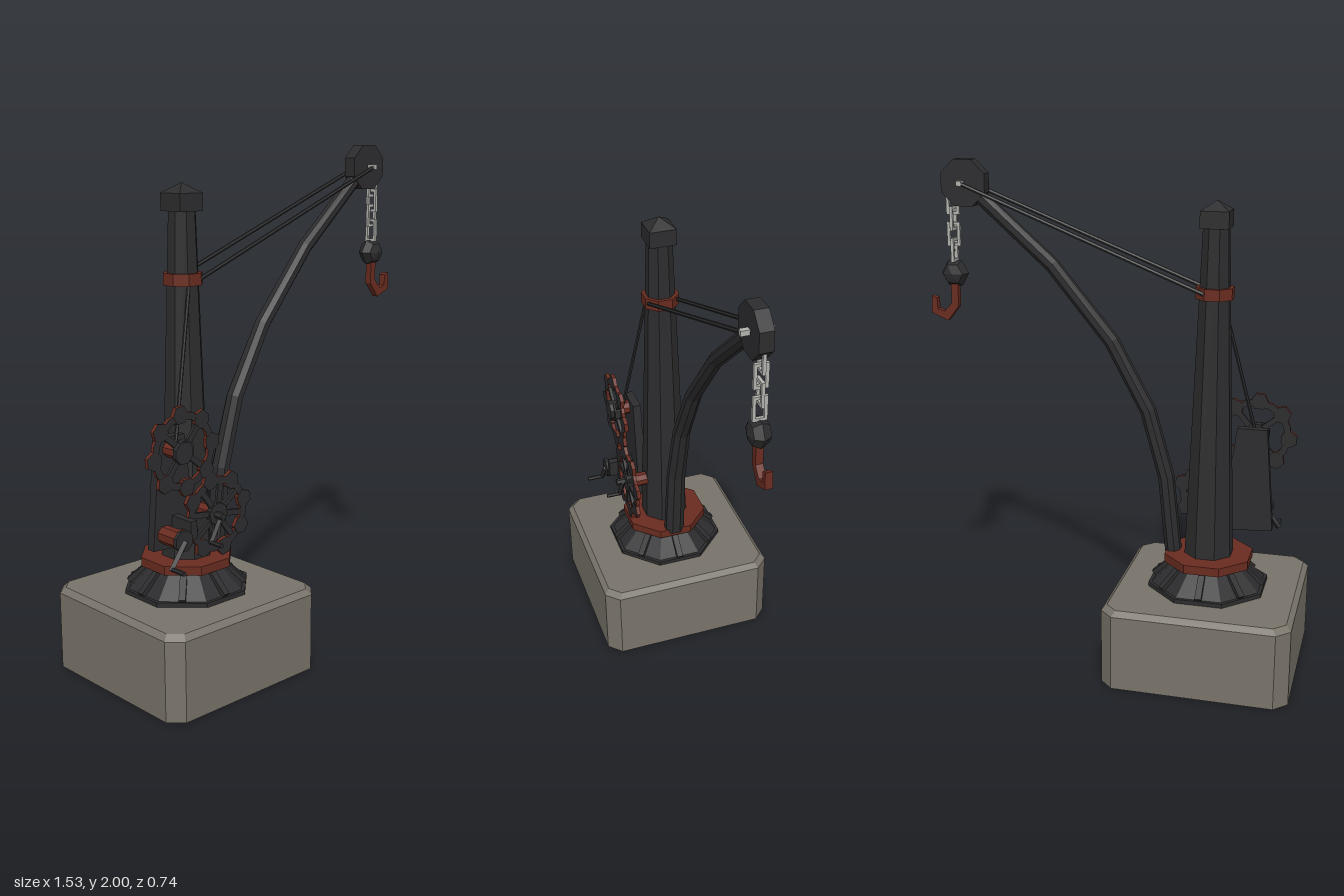
import * as THREE from 'three';

const mat = (name, color) => {
  const m = new THREE.MeshStandardMaterial({ color, flatShading: true });
  m.name = name;
  return m;
};

// Skin between closed rings of points, with both ends capped
function loft(rings) {
  const pos = [], n = rings[0].length;
  const tri = (...p) => p.forEach(v => pos.push(...v));
  for (let i = 0; i < rings.length - 1; i++) {
    for (let j = 0; j < n; j++) {
      const k = (j + 1) % n, r = rings[i], s = rings[i + 1];
      tri(r[j], r[k], s[k]);
      tri(r[j], s[k], s[j]);
    }
  }
  const first = rings[0], last = rings[rings.length - 1];
  for (let j = 1; j < n - 1; j++) {
    tri(last[0], last[j], last[j + 1]);
    tri(first[0], first[j + 1], first[j]);
  }
  const g = new THREE.BufferGeometry();
  g.setAttribute('position', new THREE.Float32BufferAttribute(pos, 3));
  g.computeVertexNormals();
  return g;
}

export function createModel() {
  const model = new THREE.Group();
  model.name = 'dockCrane';
  const iron = mat('dark iron', 0x2d2d2f);
  const rust = mat('rust red', 0x6a2c20);
  const stone = mat('stone', 0x79746a);
  const steel = mat('light steel', 0xb4b4b0);
  const MX = -0.395;

  const add = (name, geo, material, x = 0, y = 0, z = 0, parent = model) => {
    const m = new THREE.Mesh(geo, material);
    m.name = name;
    m.position.set(x, y, z);
    parent.add(m);
    return m;
  };
  const box = (name, material, w, h, d, x, y, z, parent) =>
    add(name, new THREE.BoxGeometry(w, h, d), material, x, y, z, parent);
  // Upright eight-sided drum measured across its flats
  const drum = (name, material, top, bottom, y0, y1) => {
    const k = 1 / Math.cos(Math.PI / 8);
    const g = new THREE.CylinderGeometry(top * k, bottom * k, y1 - y0, 8).rotateY(Math.PI / 8);
    return add(name, g, material, MX, (y0 + y1) / 2, 0);
  };
  // Cylinder along z
  const axle = (name, material, r, x, y, z0, z1, sides = 8, parent) => {
    const g = new THREE.CylinderGeometry(r, r, z1 - z0, sides).rotateY(Math.PI / sides).rotateX(Math.PI / 2);
    return add(name, g, material, x, y, (z0 + z1) / 2, parent);
  };
  // Straight bar between two points
  const rod = (name, material, a, b, r, sides = 6) => {
    const p = new THREE.Vector3(...a), q = new THREE.Vector3(...b);
    const m = add(name, new THREE.CylinderGeometry(r, r, p.distanceTo(q), sides), material);
    m.position.copy(p).lerp(q, 0.5);
    m.quaternion.setFromUnitVectors(new THREE.Vector3(0, 1, 0), q.sub(p).normalize());
    return m;
  };

  // Stone block with cut corners and a bevelled top
  const blockRing = (h, c, y) => [[h, h - c], [h, c - h], [h - c, -h], [c - h, -h],
    [-h, c - h], [-h, h - c], [c - h, h], [h - c, h]].map(([x, z]) => [x - 0.4, y, z]);
  add('stoneBlock', loft([blockRing(0.37, 0.052, 0), blockRing(0.37, 0.052, 0.307), blockRing(0.35, 0.045, 0.328)]), stone);

  // Footing with radial ribs
  drum('footingRim', iron, 0.228, 0.228, 0.325, 0.345);
  drum('footingSkirt', iron, 0.13, 0.215, 0.345, 0.43);
  for (let i = 0; i < 8; i++) {
    const pivot = new THREE.Group();
    pivot.name = 'footingRib';
    pivot.position.set(MX, 0.388, 0);
    pivot.rotation.y = i * Math.PI / 4;
    box('rib', iron, 0.13, 0.03, 0.026, 0.173, 0, 0, pivot).rotation.z = -0.72;
    model.add(pivot);
  }
  drum('baseCollar', rust, 0.168, 0.168, 0.43, 0.465);

  // Mast, band and cap
  drum('mast', iron, 0.048, 0.092, 0.465, 1.78);
  drum('mastBand', rust, 0.07, 0.07, 1.5, 1.545);
  box('mastCap', iron, 0.11, 0.065, 0.11, MX, 1.8, 0);
  add('mastCapPoint', new THREE.ConeGeometry(0.0778, 0.038, 4).rotateY(Math.PI / 4), iron, MX, 1.851, 0);

  // Curved tapering jib
  const path = [[-0.25, 0.45], [-0.215, 0.77], [-0.138, 1.04], [0.01, 1.31], [0.25, 1.6], [0.6, 1.91]];
  const rings = path.map(([x, y], i) => {
    const a = path[Math.max(i - 1, 0)], b = path[Math.min(i + 1, path.length - 1)];
    const len = Math.hypot(b[0] - a[0], b[1] - a[1]);
    const tx = (b[0] - a[0]) / len, ty = (b[1] - a[1]) / len, f = i / 5;
    const ru = 0.031 - 0.004 * f, rv = 0.041 - 0.018 * f;
    return Array.from({ length: 8 }, (_, j) => {
      const t = (j + 0.5) * Math.PI / 4, u = Math.cos(t) * ru * 1.08, v = Math.sin(t) * rv * 1.08;
      return [x - ty * u, y + tx * u, v];
    });
  });
  add('jib', loft(rings), iron);

  // Head pulley, pin and stays
  axle('headPulley', iron, 0.0975, 0.603, 1.91, -0.026, 0.026);
  axle('pulleyPin', steel, 0.014, 0.608, 1.91, -0.058, 0.058, 4);
  for (const s of [-1, 1]) rod('stay', iron, [-0.37, 1.52, s * 0.06], [0.608, 1.91, s * 0.048], 0.008);

  // Chain of links turned alternately
  for (let i = 0; i < 4; i++) {
    const link = new THREE.Group();
    link.name = 'chainLink';
    link.position.set(0.656, 1.832 - i * 0.062, 0);
    link.rotation.y = i % 2 ? Math.PI / 2 : 0;
    for (const s of [-1, 1]) {
      box('linkSide', steel, 0.012, 0.095, 0.012, s * 0.021, 0, 0, link);
      box('linkEnd', steel, 0.03, 0.012, 0.012, 0, s * 0.0415, 0, link);
    }
    model.add(link);
  }

  // Weight and hook
  const ball = new THREE.SphereGeometry(0.058, 6, 4);
  ball.rotateX(Math.PI / 2).scale(1, 1, 0.75);
  add('hookWeight', ball, iron, 0.656, 1.553, 0);
  const hook = new THREE.Shape([[0.643, 1.52], [0.643, 1.42], [0.69, 1.36], [0.76, 1.39], [0.757, 1.458],
    [0.735, 1.45], [0.733, 1.405], [0.705, 1.397], [0.672, 1.432], [0.672, 1.52]].map(p => new THREE.Vector2(...p)));
  add('hook', new THREE.ExtrudeGeometry(hook, { depth: 0.028, bevelEnabled: false }), rust, 0, 0, -0.014);

  // Winch back plate
  const plate = new THREE.Shape([[-0.638, 0.55], [-0.43, 0.535], [-0.485, 0.97], [-0.605, 0.97]].map(p => new THREE.Vector2(...p)));
  add('winchPlate', new THREE.ExtrudeGeometry(plate, { depth: 0.035, bevelEnabled: false }), iron, 0, 0, 0.068);

  // Gear wheel with round lobes, rust on its edges
  const gear = (name, x, y, spokes, turn) => {
    const g = new THREE.Group();
    g.name = name;
    g.position.set(x, y, 0.165);
    g.rotation.z = turn;
    const rim = new THREE.Shape().absarc(0, 0, 0.145, 0, Math.PI * 2);
    rim.holes.push(new THREE.Path().absarc(0, 0, 0.118, 0, Math.PI * 2, true));
    add('rim', new THREE.ExtrudeGeometry(rim, { depth: 0.014, bevelEnabled: false, curveSegments: 8 }), [iron, rust], 0, 0, -0.007, g);
    for (let i = 0; i < 8; i++) {
      const a = i * Math.PI / 4;
      const lobe = new THREE.CylinderGeometry(0.036, 0.036, 0.016, 6).rotateX(Math.PI / 2).rotateZ(a);
      add('lobe', lobe, [rust, iron, iron], Math.cos(a) * 0.137, Math.sin(a) * 0.137, 0, g);
    }
    for (let i = 0; i < spokes; i++) {
      const a = (i + 0.5) * Math.PI * 2 / spokes;
      box('spoke', iron, 0.125, 0.022, 0.012, Math.cos(a) * 0.065, Math.sin(a) * 0.065, 0, g).rotation.z = a;
    }
    axle('gearHub', iron, 0.045, 0, 0, -0.01, 0.012, 8, g);
    model.add(g);
  };
  gear('upperGear', -0.545, 0.925, 4, 0.1);
  gear('lowerGear', -0.385, 0.655, 8, 0.25);

  // Upper drum
  axle('upperDrum', rust, 0.03, -0.56, 0.925, 0.1, 0.18);
  axle('upperDrumCap', iron, 0.043, -0.56, 0.925, 0.175, 0.192);

  // Lower axle and its small crank
  axle('lowerAxle', rust, 0.03, -0.385, 0.655, 0.06, 0.165);
  axle('lowerAxleEnd', iron, 0.014, -0.395, 0.655, 0.16, 0.215, 6);
  rod('smallCrankArm', iron, [-0.38, 0.66, 0.19], [-0.435, 0.56, 0.19], 0.011, 4);
  axle('smallCrankHandle', iron, 0.009, -0.435, 0.56, 0.185, 0.25, 6);

  // Main crank on its drum
  axle('crankDrum', rust, 0.035, -0.585, 0.605, 0.1, 0.205);
  axle('crankDrumCap', iron, 0.042, -0.585, 0.605, 0.2, 0.215);
  box('crankBracket', iron, 0.03, 0.07, 0.11, -0.535, 0.635, 0.155);
  rod('crankArm', iron, [-0.58, 0.605, 0.215], [-0.65, 0.51, 0.215], 0.012, 4);
  axle('crankHandle', iron, 0.009, -0.645, 0.515, 0.21, 0.283, 6);

  // Hoist rope down to the drum
  rod('hoistRope', iron, [-0.412, 1.51, 0.055], [-0.55, 0.94, 0.13], 0.007);

  return model;
}
